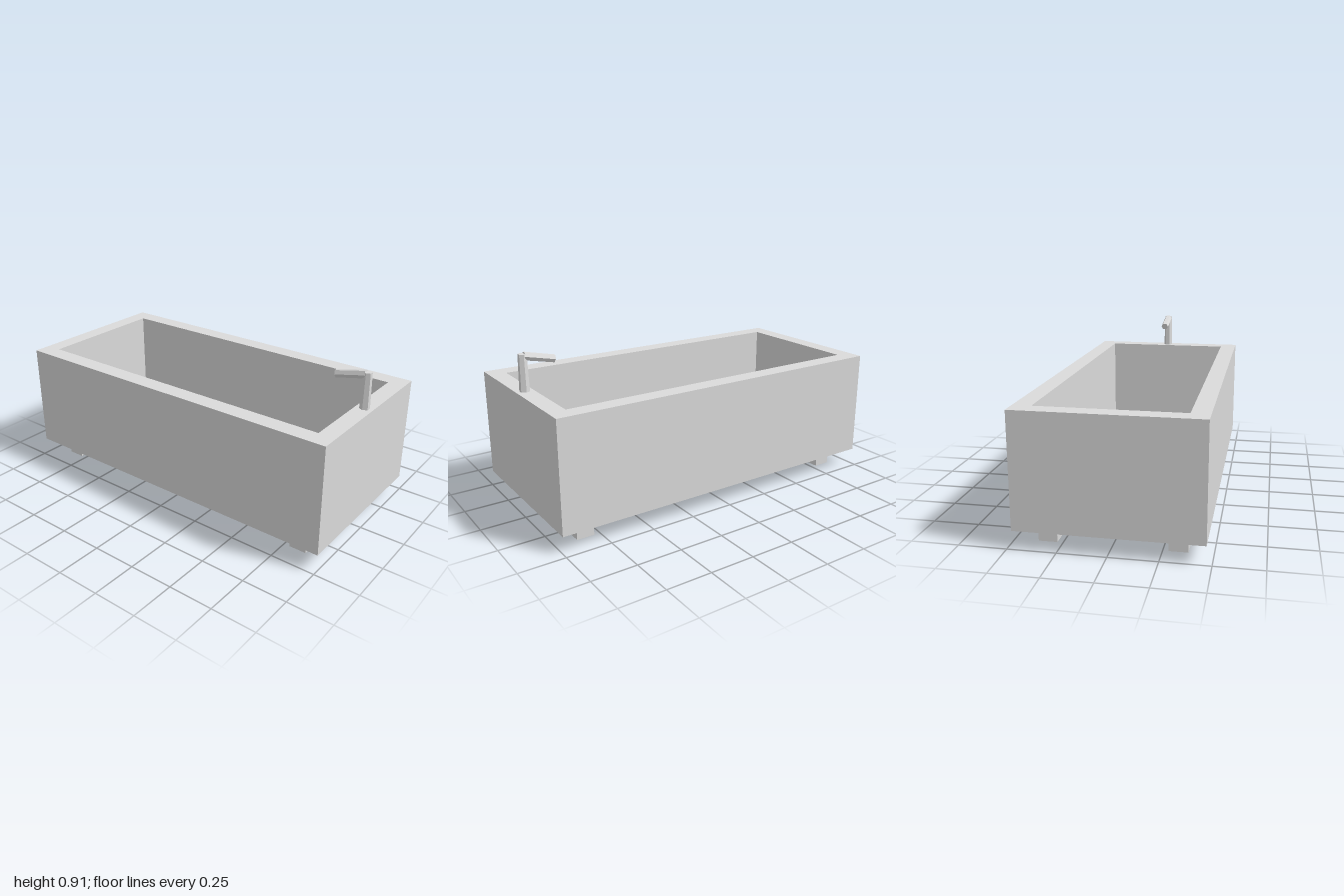
import * as THREE from 'three';

const grey = new THREE.MeshStandardMaterial({ color: 0xdbdbdb });
grey.name = 'lightGrey';

function add(parent, name, geometry, x = 0, y = 0, z = 0) {
  const mesh = new THREE.Mesh(geometry, grey);
  mesh.name = name;
  mesh.position.set(x, y, z);
  parent.add(mesh);
  return mesh;
}

// Open box: rectangular loops run up the outside, over the rim and down inside
function basinGeometry() {
  const loops = [[1, 0.098, 0.473], [1, 0.703, 0.473], [0.906, 0.703, 0.377], [0.906, 0.114, 0.377]];
  const points = loops.flatMap(([x, y, z]) => [-x, y, z, x, y, z, x, y, -z, -x, y, -z]);
  const index = [];
  const quad = (a, b, c, d) => index.push(a, b, c, a, c, d);
  for (let l = 0; l < loops.length - 1; l++) {
    for (let i = 0; i < 4; i++) {
      const j = (i + 1) % 4;
      quad(l * 4 + i, l * 4 + j, l * 4 + 4 + j, l * 4 + 4 + i);
    }
  }
  quad(12, 13, 14, 15); // inner floor
  quad(3, 2, 1, 0); // underside
  const indexed = new THREE.BufferGeometry();
  indexed.setAttribute('position', new THREE.Float32BufferAttribute(points, 3));
  indexed.setIndex(index);
  const geometry = indexed.toNonIndexed();
  geometry.computeVertexNormals();
  return geometry;
}

// Six-sided rod with flat facets
function hexRod(topRadius, bottomRadius, length) {
  const geometry = new THREE.CylinderGeometry(topRadius, bottomRadius, length, 6).toNonIndexed();
  geometry.computeVertexNormals();
  return geometry;
}

export function createModel() {
  const model = new THREE.Group();
  model.name = 'bathtub';

  add(model, 'basin', basinGeometry());

  // Four block feet
  const footGeometry = new THREE.BoxGeometry(0.097, 0.098, 0.097);
  for (const x of [-0.832, 0.832]) {
    for (const z of [-0.328, 0.328]) add(model, 'foot', footGeometry, x, 0.049, z);
  }

  // Tap standing on the rim at the left end, its spout sloping over the basin
  const tap = new THREE.Group();
  tap.name = 'tap';
  model.add(tap);
  add(tap, 'tapPost', hexRod(0.023, 0.027, 0.197), 0.954, 0.8015, 0);
  const start = new THREE.Vector2(0.782, 0.851);
  const end = new THREE.Vector2(0.948, 0.888);
  const along = end.clone().sub(start);
  const middle = start.clone().add(end).multiplyScalar(0.5);
  const spout = add(tap, 'tapSpout', hexRod(0.023, 0.022, along.length()), middle.x, middle.y, 0);
  spout.rotation.z = along.angle() - Math.PI / 2;

  return model;
}
